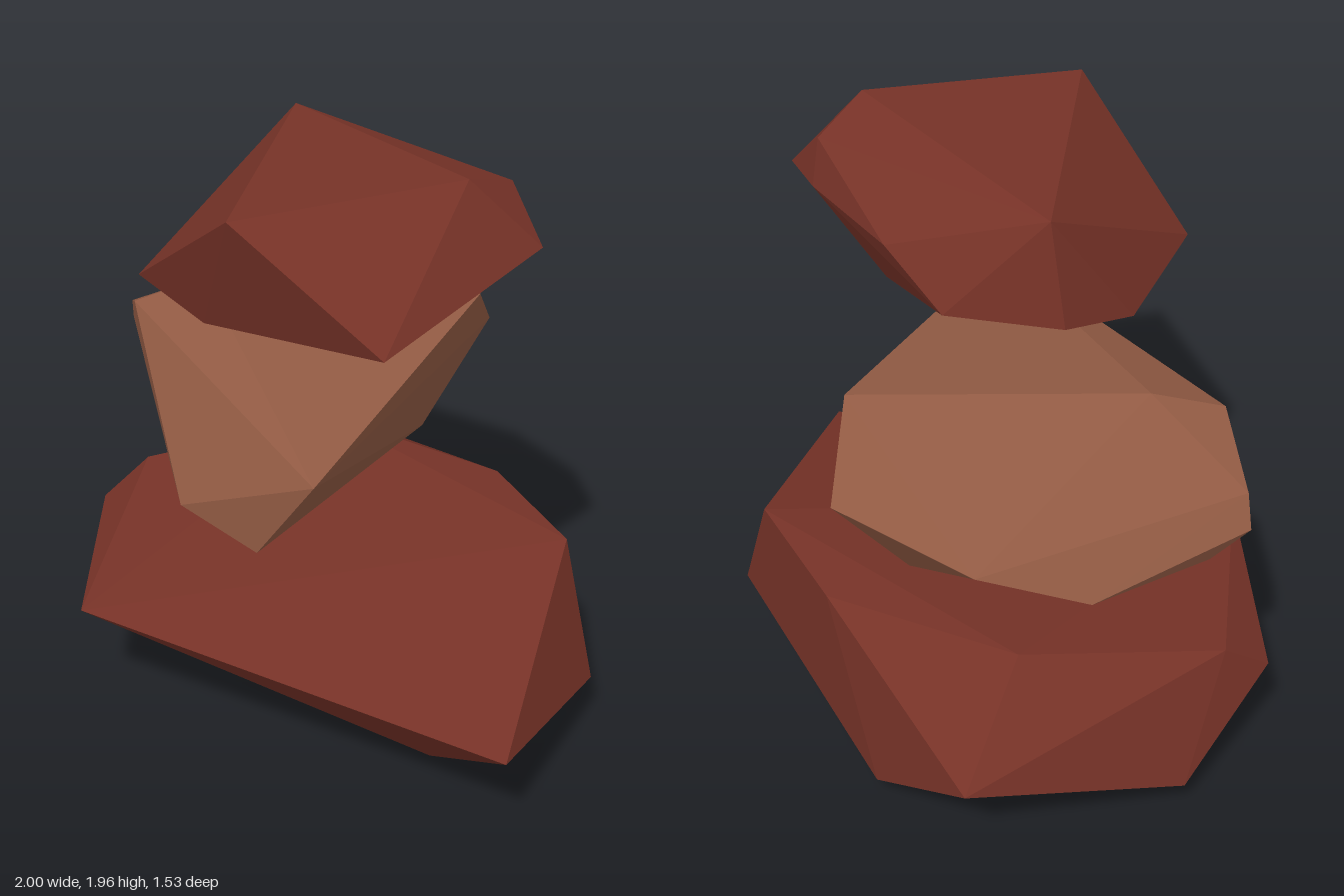
import * as THREE from 'three';
import { ConvexGeometry } from 'three/addons/geometries/ConvexGeometry.js';

const redStone = new THREE.MeshStandardMaterial({ color: 0x763227, flatShading: true });
redStone.name = 'dark red stone';
const brownStone = new THREE.MeshStandardMaterial({ color: 0x915a43, flatShading: true });
brownStone.name = 'light brown stone';

// A faceted rock is the convex hull of its corners.
function rock(name, material, corners) {
  const points = corners.map(([x, y, z]) => new THREE.Vector3(x, y, z));
  const mesh = new THREE.Mesh(new ConvexGeometry(points), material);
  mesh.name = name;
  return mesh;
}

export function createModel() {
  const group = new THREE.Group();
  group.name = 'floatingRocks';

  // wide bottom slab
  group.add(rock('bottomRock', redStone, [
    [-0.63, 0.615, -0.42], [0.44, 0.595, -0.6], [-0.03, 0.59, -0.69], // top
    [-0.92, 0.505, 0.16], [-0.955, 0.385, 0.32], [-0.34, 0.415, 0.76], // front rim
    [1, 0.355, 0.09], [0.63, 0.175, -0.57], [-0.8, 0.37, -0.76], // side and back rim
    [-0.36, 0.1, -0.76], [-1, 0.13, -0.06], // lower rim
    [-0.38, 0, -0.5], [0.52, 0.04, 0], // underside
  ]));

  // lighter middle rock
  group.add(rock('middleRock', brownStone, [
    [-0.6, 1.315, 0.1], [-0.02, 1.295, -0.58], [-0.71, 1.24, 0.3], [0.475, 1.155, 0.41], // top
    [-0.94, 1.115, 0.18], [-0.99, 1.025, 0.15], [-0.2, 1.08, -0.77], [-0.7, 1.07, -0.64], // rim
    [-0.88, 0.945, -0.36], [-0.93, 0.93, 0.05], [-0.04, 0.89, 0.55], [0.26, 0.845, 0.47], // lower rim
    [-0.22, 0.74, -0.51], [-0.27, 0.7, -0.33], [-0.36, 0.695, -0.24], // underside
  ]));

  // small top rock
  group.add(rock('topRock', redStone, [
    [0.2, 1.91, 0.51], [0.44, 1.96, -0.15], [-0.43, 1.91, -0.15], [0.39, 1.89, -0.35], // top
    [0.55, 1.74, -0.34], [0.37, 1.75, -0.39], [-0.04, 1.76, -0.435], [-0.26, 1.62, -0.4], // back
    [0.63, 1.59, 0.28], [-0.3, 1.555, 0.51], [-0.5, 1.59, -0.15], [-0.49, 1.52, 0.12], // rim
    [0.18, 1.48, -0.27], [-0.23, 1.44, 0.09], [-0.05, 1.475, 0.44], // underside
  ]));

  return group;
}
